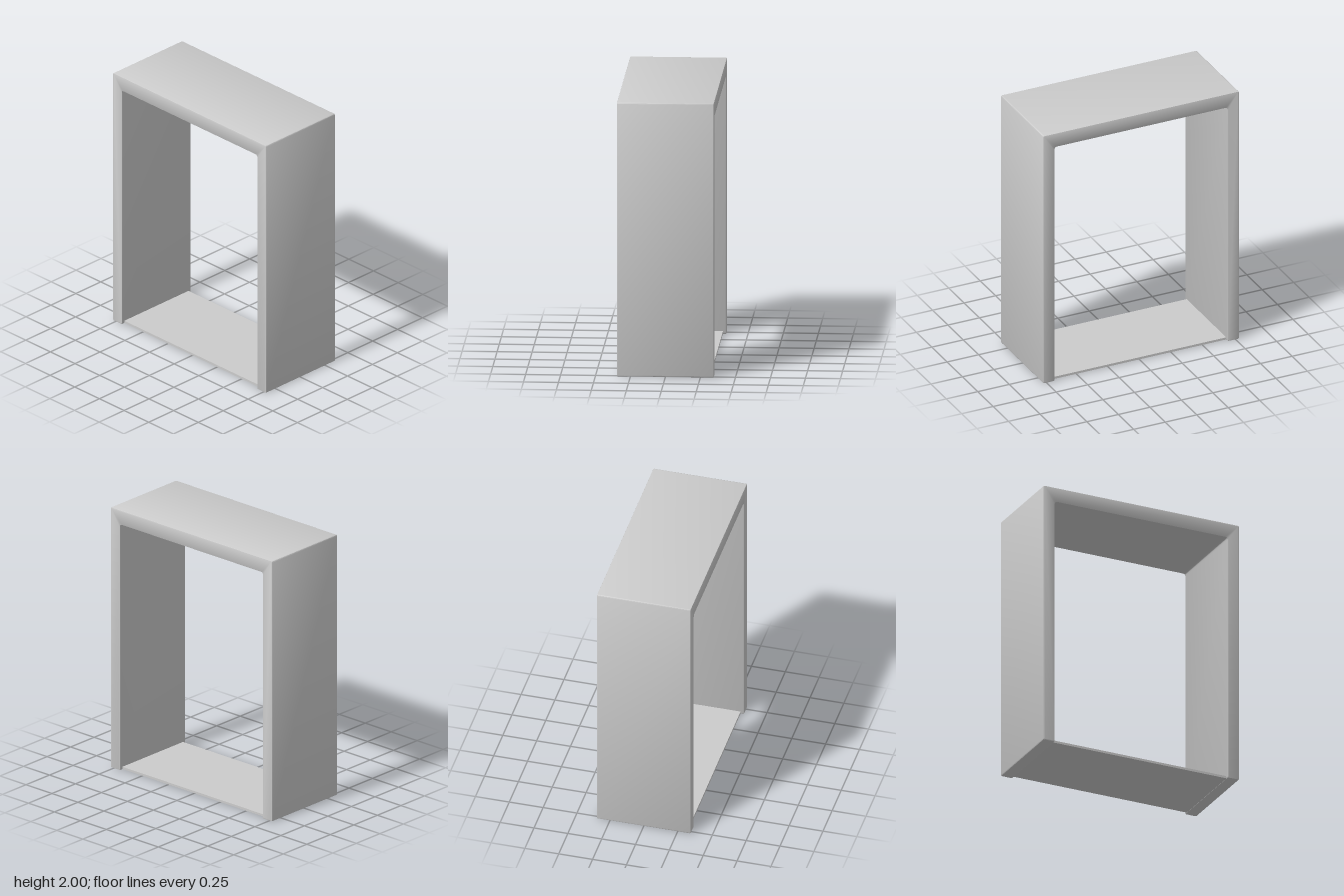
import * as THREE from 'three';
import { toCreasedNormals } from 'three/addons/utils/BufferGeometryUtils.js';

const W = 0.777, H = 2, D = 0.694;      // outer half width, height, depth
const INNER = 0.686, TOP = 1.89;        // opening half width and height
const BEVEL = 0.006;

// Polygon outline whose corners [x, y, radius] are rounded
function roundedShape(corners) {
  const shape = new THREE.Shape();
  const n = corners.length;
  corners.forEach(([x, y, r], i) => {
    const p = new THREE.Vector2(x, y);
    const toward = ([cx, cy]) => new THREE.Vector2(cx, cy).sub(p).setLength(r).add(p);
    const a = toward(corners[(i + n - 1) % n]);
    const b = toward(corners[(i + 1) % n]);
    if (i === 0) shape.moveTo(a.x, a.y);
    else shape.lineTo(a.x, a.y);
    shape.quadraticCurveTo(x, y, b.x, b.y);
  });
  shape.closePath();
  return shape;
}

export function createModel() {
  const group = new THREE.Group();
  const material = new THREE.MeshStandardMaterial({ color: 0xcccccc });

  // Two sides and the thicker top as one piece with softened edges
  const outline = roundedShape([
    [-W, 0, 0.01], [-INNER, 0, 0.01], [-INNER, TOP, 0.018], [INNER, TOP, 0.018],
    [INNER, 0, 0.01], [W, 0, 0.01], [W, H, 0.01], [-W, H, 0.01],
  ].reverse());
  const frameGeometry = new THREE.ExtrudeGeometry(outline, {
    depth: D - 2 * BEVEL, curveSegments: 4,
    bevelEnabled: true, bevelSize: BEVEL, bevelThickness: BEVEL,
    bevelOffset: -BEVEL, bevelSegments: 2,
  });
  frameGeometry.translate(0, 0, -D / 2 + BEVEL);
  const frame = new THREE.Mesh(toCreasedNormals(frameGeometry, 0.6), material);
  frame.name = 'frame';
  group.add(frame);

  // Thin floor plate, set back from the front and back edges
  const floor = new THREE.Mesh(new THREE.BoxGeometry(2 * INNER + 0.01, 0.017, D - 0.05), material);
  floor.name = 'floorPlate';
  floor.position.y = 0.0125;
  group.add(floor);

  return group;
}
